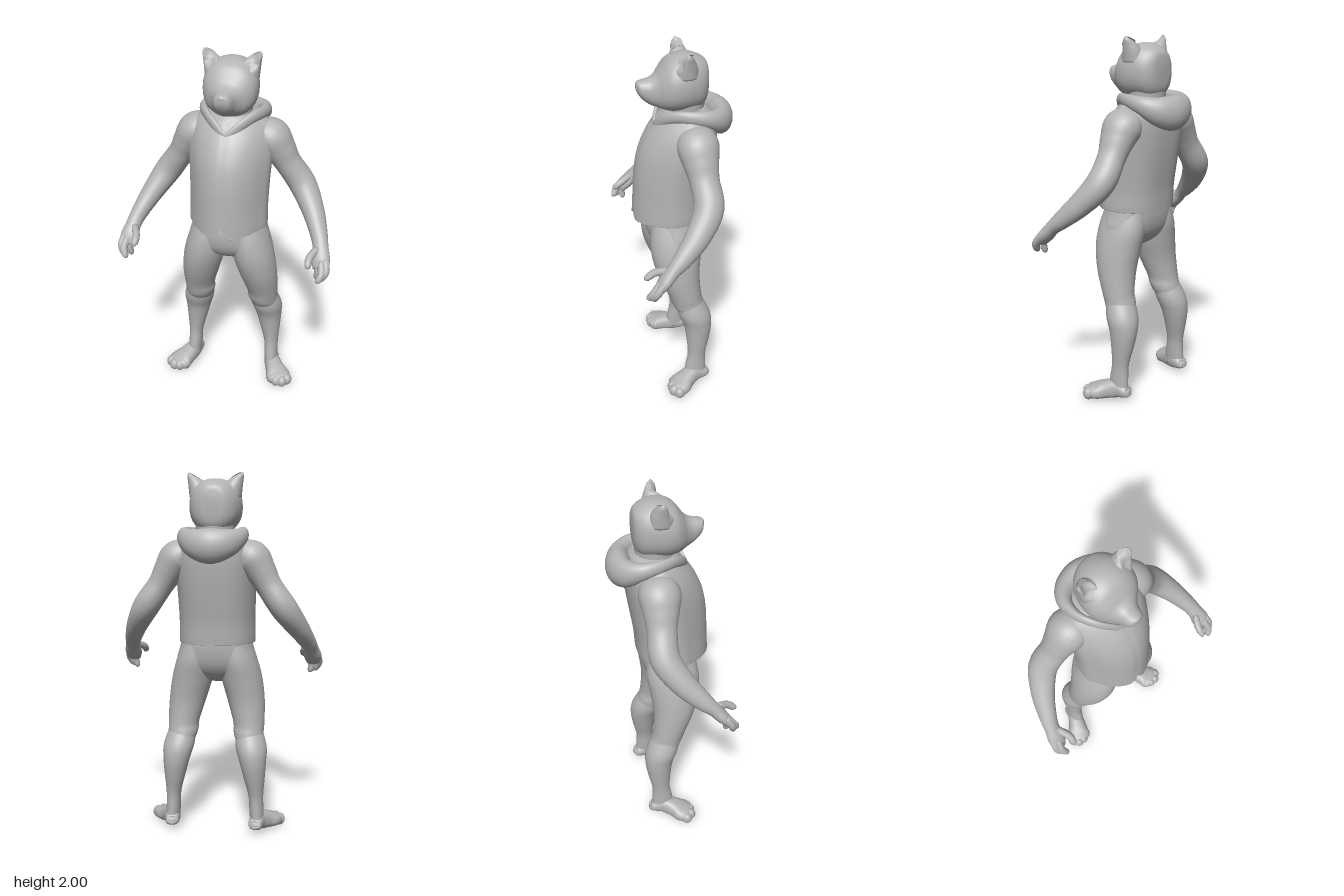
import * as THREE from 'three';

const grey = new THREE.MeshStandardMaterial({ color: 0xb4b4b4 });
grey.name = 'grey';
grey.side = THREE.DoubleSide;

const X = new THREE.Vector3(1, 0, 0), Y = new THREE.Vector3(0, 1, 0), Z = new THREE.Vector3(0, 0, 1);
const lerp = THREE.MathUtils.lerp;

// Smooth skin over elliptical sections [x, y, z, halfWidth, halfHeight].
// axis fixes the ring planes; power squares (<1) or sharpens (>1) the ring; deform edits points.
function sweep(name, secs, { axis, ref = Z, n = 28, sub = 6, closed = false, power = () => 1, deform } = {}) {
  const path = new THREE.CatmullRomCurve3(secs.map(s => new THREE.Vector3(s[0], s[1], s[2])), closed, 'catmullrom');
  const size = new THREE.CatmullRomCurve3(secs.map(s => new THREE.Vector3(s[3], s[4], 0)), closed, 'catmullrom');
  const rows = closed ? secs.length * sub : (secs.length - 1) * sub + 1;
  const pos = [], idx = [], pow = (v, e) => Math.sign(v) * Math.abs(v) ** e;
  for (let i = 0; i < rows; i++) {
    const k = i / (closed ? rows : rows - 1);
    const c = path.getPoint(k), r = size.getPoint(k);
    const t = axis || path.getTangent(k);
    const u = ref.clone().cross(t).normalize(), v = t.clone().cross(u);
    for (let j = 0; j < n; j++) {
      const a = (j / n) * Math.PI * 2, cs = Math.cos(a), sn = Math.sin(a), e = power(sn);
      const p = c.clone().addScaledVector(u, r.x * pow(cs, Math.min(e, 1))).addScaledVector(v, r.y * pow(sn, e));
      if (deform) deform(p);
      pos.push(p.x, p.y, p.z);
    }
  }
  for (let i = 0; i < (closed ? rows : rows - 1); i++) {
    for (let j = 0; j < n; j++) {
      const a = i * n + j, b = i * n + (j + 1) % n, m = ((i + 1) % rows) * n;
      const d = m + j, c = m + (j + 1) % n;
      idx.push(a, b, c, a, c, d);
    }
  }
  if (!closed) {
    const s = secs[0], e = secs[secs.length - 1], p0 = pos.length / 3, last = (rows - 1) * n;
    pos.push(s[0], s[1], s[2], e[0], e[1], e[2]);
    for (let j = 0; j < n; j++) {
      const q = (j + 1) % n;
      idx.push(p0, q, j, p0 + 1, last + j, last + q);
    }
  }
  const g = new THREE.BufferGeometry();
  g.setAttribute('position', new THREE.Float32BufferAttribute(pos, 3));
  g.setIndex(idx);
  g.computeVertexNormals();
  const mesh = new THREE.Mesh(g, grey);
  mesh.name = name;
  return mesh;
}

// Upright loft from rows [y, centreX, halfWidth, zFront, zBack].
const upright = (name, rows, opts) => sweep(name,
  rows.map(([y, x, w, f, b]) => [x, y, (f + b) / 2, w, (f - b) / 2]), { axis: Y, ...opts });

// Loft along z from rows [z, halfWidth, yTop, yBottom].
const along = (name, rows, opts) => sweep(name,
  rows.map(([z, w, t, b]) => [0, (t + b) / 2, z, w, (t - b) / 2]), { axis: Z, ref: Y, ...opts });

function ball(name, x, y, z, a, b, c) {
  const m = new THREE.Mesh(new THREE.SphereGeometry(1, 20, 14).scale(a, b, c), grey);
  m.position.set(x, y, z);
  m.name = name;
  return m;
}

function buildHead() {
  const g = new THREE.Group();
  g.name = 'head';
  g.add(along('skullAndMuzzle', [
    [-0.157, 0.02, 1.87, 1.82], [-0.148, 0.072, 1.92, 1.73], [-0.115, 0.112, 1.947, 1.69], [-0.06, 0.136, 1.966, 1.68],
    [0, 0.144, 1.963, 1.675], [0.05, 0.134, 1.94, 1.68], [0.085, 0.11, 1.9, 1.69], [0.11, 0.084, 1.868, 1.70],
    [0.14, 0.062, 1.85, 1.712], [0.175, 0.05, 1.843, 1.738], [0.198, 0.038, 1.837, 1.768], [0.21, 0.012, 1.825, 1.795],
  ], { n: 36, power: () => 0.88 }));
  g.add(ball('nose', 0, 1.822, 0.195, 0.026, 0.016, 0.016));
  g.add(upright('neck', [[1.52, 0, 0.12, 0.08, -0.14], [1.62, 0, 0.105, 0.06, -0.14], [1.76, 0, 0.105, 0.06, -0.145]]));
  // Broad ears growing out of the crown, with a hollowed front
  for (const s of [1, -1]) {
    g.add(upright('ear', [
      [1.87, s * 0.088, 0.053, 0.04, -0.09], [1.92, s * 0.093, 0.053, 0.032, -0.083],
      [1.955, s * 0.107, 0.043, 0.018, -0.068], [1.982, s * 0.13, 0.023, -0.004, -0.05], [2.0, s * 0.143, 0.004, -0.022, -0.03],
    ], {
      deform: p => {
        const d = Math.abs(s * p.x - 0.108) / 0.034;
        if (p.z > -0.03 && p.y > 1.91 && d < 1) p.z -= 0.03 * (1 - d * d) * Math.min(1, (p.y - 1.91) / 0.03);
      },
    }));
  }
  return g;
}

function buildVest() {
  const g = new THREE.Group();
  g.name = 'vest';
  g.add(upright('vestBody', [
    [1.11, 0, 0.18, 0.2, -0.11], [1.082, 0, 0.208, 0.246, -0.142], [1.1, 0, 0.214, 0.249, -0.147], [1.2, 0, 0.212, 0.243, -0.155],
    [1.33, 0, 0.216, 0.234, -0.175], [1.45, 0, 0.222, 0.21, -0.192], [1.55, 0, 0.222, 0.165, -0.2],
    [1.62, 0, 0.205, 0.115, -0.195], [1.665, 0, 0.16, 0.075, -0.17], [1.69, 0, 0.1, 0.05, -0.14],
  ], {
    n: 80,
    // Keel-like front, fuller back
    power: s => (s > 0 ? 1 + 0.45 * Math.min(1, 2 * s) : 1 + 0.2 * s),
    // Closing seam and the notched front hem
    deform: p => {
      if (p.z < 0.08) return;
      const x = Math.abs(p.x);
      if (x < 0.01) p.z -= 0.004;
      if (p.y < 1.2) {
        const dy = x < 0.04 ? lerp(0.045, -0.022, x / 0.04) : lerp(-0.022, 0, Math.min(1, (x - 0.04) / 0.16));
        p.y += dy * Math.min(1, (1.2 - p.y) / 0.1);
      }
    },
  }));
  // Hood lying round the neck: thin lapels in front, thick roll at the back
  const side = [[0.07, 1.645, 0.088, 0.014, 0.026], [0.125, 1.678, 0.03, 0.018, 0.03],
    [0.157, 1.678, -0.05, 0.024, 0.035], [0.15, 1.66, -0.14, 0.038, 0.048], [0.09, 1.63, -0.205, 0.056, 0.075]];
  g.add(sweep('hood', [
    [0, 1.595, 0.118, 0.012, 0.024], ...side, [0, 1.615, -0.226, 0.068, 0.092],
    ...side.map(([x, ...r]) => [-x, ...r]).reverse(),
  ], { ref: Y, closed: true, n: 24, sub: 8 }));
  return g;
}

function buildArm(s) {
  const g = new THREE.Group();
  g.name = s > 0 ? 'leftArm' : 'rightArm';
  const limb = (name, pts, opts) => g.add(sweep(name, pts.map(([x, ...r]) => [s * x, ...r]), opts));
  limb('armAndPalm', [
    [0.13, 1.585, -0.06, 0.065, 0.085], [0.2, 1.548, -0.06, 0.098, 0.108], [0.25, 1.48, -0.064, 0.085, 0.093],
    [0.298, 1.4, -0.07, 0.071, 0.077], [0.378, 1.285, -0.073, 0.073, 0.078], [0.45, 1.175, 0.0, 0.06, 0.066],
    [0.5, 1.085, 0.09, 0.047, 0.05], [0.52, 1.035, 0.145, 0.042, 0.037], [0.53, 0.985, 0.19, 0.05, 0.034],
    [0.535, 0.945, 0.22, 0.04, 0.022],
  ], { ref: Z });
  // Three curled fingers and a thumb
  const finger = (name, a, b, c, r) => limb(name,
    [[...a, r, r], [...b, r * 1.05, r * 1.05], [...c, r * 0.9, r * 0.9], [c[0], c[1] - 0.012, c[2] + 0.003, r * 0.3, r * 0.3]],
    { ref: X, n: 12, sub: 4 });
  finger('finger', [0.558, 0.99, 0.2], [0.565, 0.94, 0.235], [0.545, 0.9, 0.25], 0.019);
  finger('finger', [0.535, 0.985, 0.21], [0.545, 0.935, 0.25], [0.532, 0.9, 0.27], 0.019);
  finger('finger', [0.51, 0.985, 0.2], [0.523, 0.935, 0.22], [0.517, 0.895, 0.22], 0.018);
  finger('thumb', [0.505, 1.035, 0.17], [0.476, 1.01, 0.23], [0.474, 0.982, 0.268], 0.019);
  return g;
}

function buildLeg(s) {
  const g = new THREE.Group();
  g.name = s > 0 ? 'leftLeg' : 'rightLeg';
  const column = (name, rows) => g.add(upright(name, rows.map(([y, x, ...r]) => [y, s * x, ...r])));
  column('trouserLeg', [
    [0.5, 0.2, 0.07, 0.03, -0.11], [0.545, 0.192, 0.081, 0.062, -0.112], [0.58, 0.187, 0.085, 0.077, -0.104],
    [0.63, 0.186, 0.088, 0.093, -0.093], [0.75, 0.167, 0.105, 0.143, -0.087], [0.87, 0.142, 0.115, 0.174, -0.1],
    [0.98, 0.12, 0.108, 0.175, -0.115], [1.09, 0.1, 0.085, 0.15, -0.105],
  ]);
  column('shin', [
    [0.05, 0.245, 0.04, 0.015, -0.12], [0.13, 0.24, 0.04, 0.005, -0.115], [0.22, 0.236, 0.042, -0.01, -0.115],
    [0.33, 0.226, 0.06, -0.002, -0.138], [0.42, 0.217, 0.075, 0.012, -0.15], [0.5, 0.206, 0.087, 0.042, -0.14],
    [0.6, 0.187, 0.075, 0.06, -0.09],
  ]);
  // Foot turned outwards, with four soft toes
  const foot = [[0.235, 0.065, -0.132, 0.015, 0.012], [0.238, 0.062, -0.115, 0.037, 0.03], [0.248, 0.068, -0.05, 0.045, 0.052],
    [0.277, 0.055, 0.01, 0.056, 0.05], [0.305, 0.043, 0.055, 0.073, 0.042], [0.317, 0.037, 0.09, 0.064, 0.035],
    [0.322, 0.034, 0.108, 0.04, 0.02]];
  g.add(sweep('foot', foot.map(([x, ...r]) => [s * x, ...r]), { ref: Y, power: () => 0.85 }));
  for (const [x, z] of [[0.27, 0.078], [0.302, 0.098], [0.337, 0.097], [0.363, 0.07]]) {
    g.add(ball('toe', s * x, 0.036, z, 0.029, 0.035, 0.031));
  }
  return g;
}

export function createModel() {
  const model = new THREE.Group();
  model.name = 'standingAnimalFigure';
  model.add(buildHead(), buildVest());
  // Hips blending into the two trouser legs
  model.add(upright('hips', [
    [0.86, 0, 0.06, 0.07, -0.01], [0.89, 0, 0.13, 0.125, -0.055], [0.93, 0, 0.205, 0.158, -0.09],
    [0.98, 0, 0.226, 0.176, -0.113], [1.05, 0, 0.208, 0.18, -0.125], [1.13, 0, 0.185, 0.16, -0.125],
  ], { n: 40, power: s => (s > 0 ? 1 : 0.85) }));
  for (const s of [1, -1]) model.add(buildArm(s), buildLeg(s));
  return model;
}
